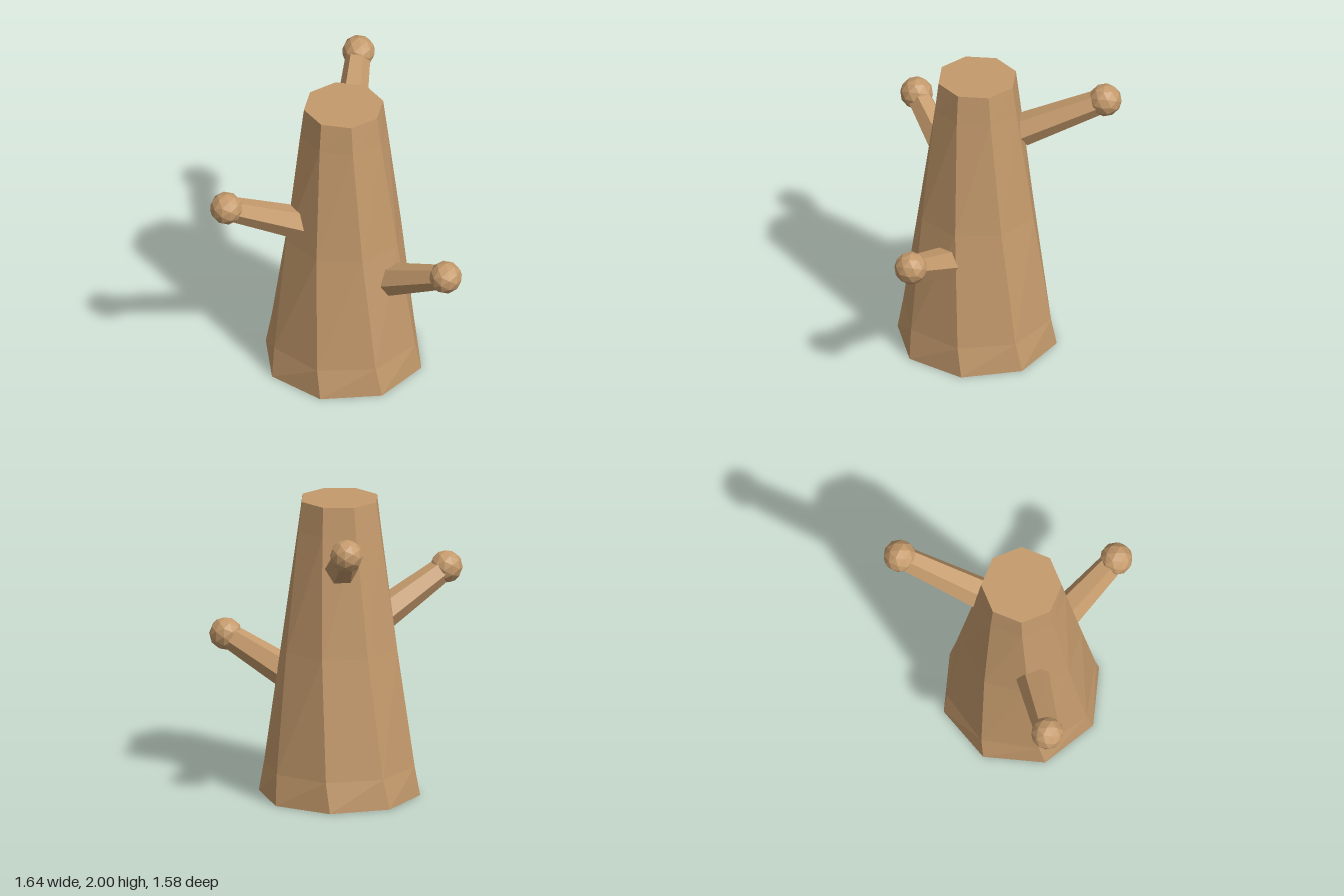
import * as THREE from 'three';

const wood = new THREE.MeshStandardMaterial({ color: 0xc49a6c, flatShading: true });
wood.name = 'light wood';

const CENTRE = new THREE.Vector3(-0.073, 0, 0.143);

// Tapering eight-sided trunk, twisted a little towards the top
function createTrunk() {
  // height, radius, twist in degrees
  const rings = [[0, 0.531, 0], [0.2, 0.5, 3.5], [1, 0.395, 10], [1.8, 0.29, 16], [2, 0.264, 17]];
  const last = rings.length - 1;
  const geometry = new THREE.CylinderGeometry(1, 1, last, 8, last);
  const p = geometry.attributes.position;
  for (let i = 0; i < p.count; i++) {
    const [y, radius, twist] = rings[Math.round(p.getY(i) + last / 2)];
    const r = Math.hypot(p.getX(i), p.getZ(i)) * radius;
    const a = Math.atan2(p.getZ(i), p.getX(i)) + THREE.MathUtils.degToRad(twist);
    p.setXYZ(i, r * Math.cos(a), y, r * Math.sin(a));
  }
  geometry.computeVertexNormals();
  const trunk = new THREE.Mesh(geometry, wood);
  trunk.name = 'trunk';
  trunk.position.copy(CENTRE);
  return trunk;
}

// Six-sided branch from the trunk to a faceted knob
function createBranch(name, start, end) {
  const branch = new THREE.Group();
  branch.name = name;
  const a = new THREE.Vector3(...start);
  const b = new THREE.Vector3(...end);
  const along = b.clone().sub(a);
  const length = along.length();
  along.normalize();
  const side = new THREE.Vector3(0, 1, 0).cross(along).normalize();
  const across = along.clone().cross(side);

  const stick = new THREE.Mesh(new THREE.CylinderGeometry(0.08, 0.11, length, 6), wood);
  stick.name = 'stick';
  stick.quaternion.setFromRotationMatrix(new THREE.Matrix4().makeBasis(across, along, side));
  stick.position.copy(a).lerp(b, 0.5);

  const knob = new THREE.Mesh(new THREE.IcosahedronGeometry(0.109, 1), wood);
  knob.name = 'knob';
  knob.position.copy(b);
  branch.add(stick, knob);
  return branch;
}

export function createModel() {
  const model = new THREE.Group();
  model.name = 'treeTrunk';
  model.add(
    createTrunk(),
    createBranch('leftBranch', [0.27, 0.76, 0.27], [0.71, 0.975, 0.428]),
    createBranch('rightBranch', [-0.315, 1.15, 0.35], [-0.713, 1.408, 0.677]),
    createBranch('backBranch', [-0.122, 1.6, -0.143], [-0.218, 1.84, -0.682]),
  );
  return model;
}
